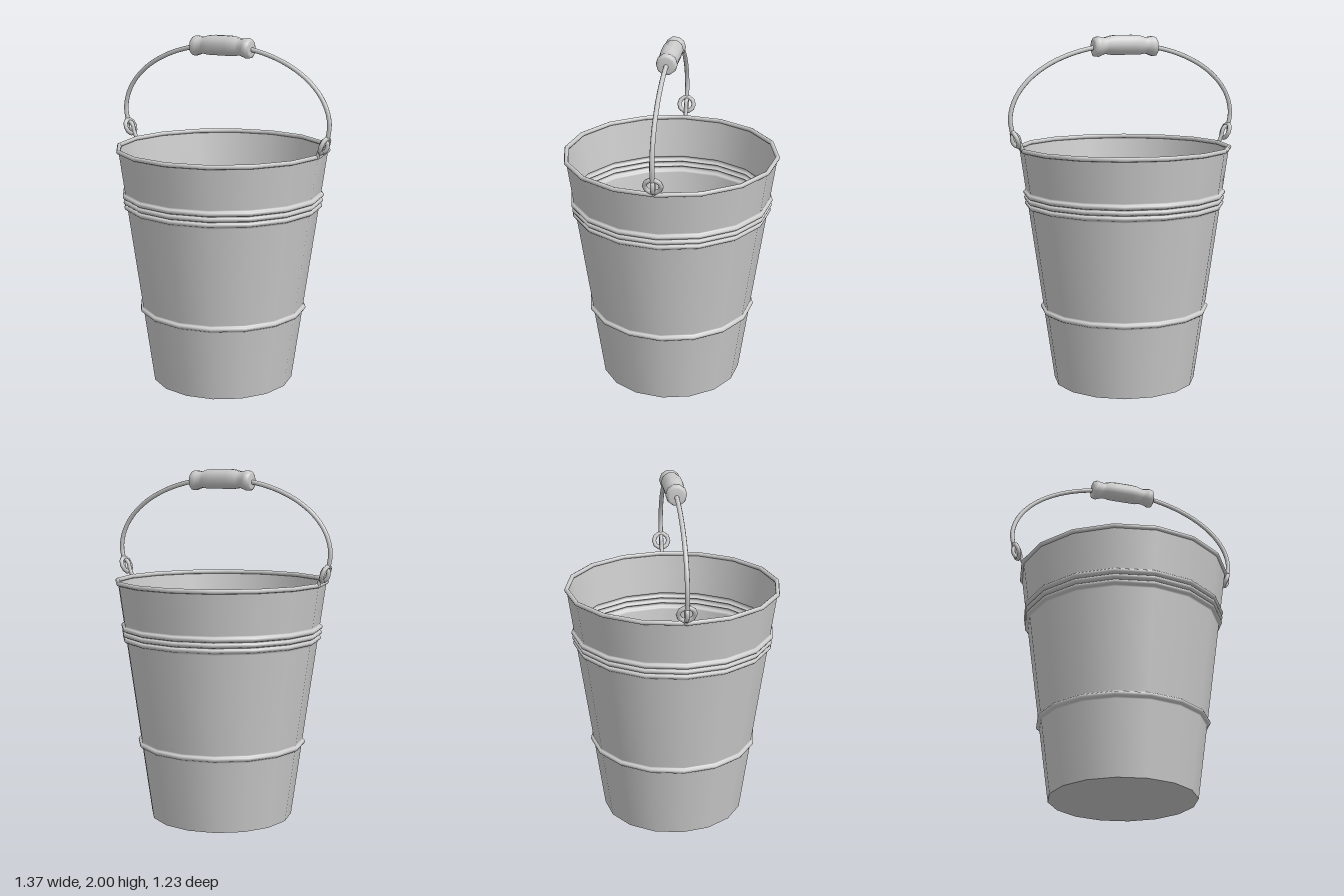
import * as THREE from 'three';

const SIDES = 16;
const TOP = 1.365;
const wallRadius = (y) => 0.41 + (0.19 * y) / TOP;

export function createModel() {
  const model = new THREE.Group();
  const solid = new THREE.MeshStandardMaterial({ color: 0xcccccc });
  const sheet = new THREE.MeshStandardMaterial({ color: 0xcccccc, side: THREE.DoubleSide });

  const add = (parent, name, geometry, material = solid) => {
    const mesh = new THREE.Mesh(geometry, material);
    mesh.name = name;
    parent.add(mesh);
    return mesh;
  };
  const wire = (curve, segments, radius = 0.014) =>
    new THREE.TubeGeometry(curve, segments, radius, 8, false);

  // Pail: thin tapered wall with pressed beads, floor and rolled rim
  const pail = new THREE.Group();
  pail.name = 'pail';
  pail.rotation.y = 0.02;
  model.add(pail);

  const profile = [new THREE.Vector2(wallRadius(0), 0)];
  const point = (y, out) => profile.push(new THREE.Vector2(wallRadius(y) + out, y));
  const bead = (y, half) => {
    for (let i = 0; i <= 6; i++) {
      const a = (i / 6) * Math.PI;
      point(y - half * Math.cos(a), 0.017 * Math.sin(a));
    }
  };
  point(0.41, 0);
  bead(0.432, 0.015);
  point(0.454, 0);
  point(1.02, 0);
  for (const y of [1.043, 1.074, 1.105]) bead(y, 0.0145);
  point(1.127, 0);
  point(TOP, 0);
  add(pail, 'wall', new THREE.LatheGeometry(profile, SIDES), sheet);

  const floor = new THREE.CircleGeometry(wallRadius(0), SIDES);
  floor.rotateX(Math.PI / 2);
  add(pail, 'floor', floor, sheet);

  const rim = new THREE.TorusGeometry(0.6, 0.013, 8, SIDES);
  rim.rotateX(Math.PI / 2);
  rim.translate(0, TOP, 0);
  add(pail, 'rim', rim);

  // Bail: arched wire running down to an eye on each side
  const arch = [];
  arch.push(new THREE.Vector3(-0.66, 1.465, 0));
  for (let i = 0; i <= 24; i++) {
    const a = Math.PI * (1 - i / 24);
    arch.push(new THREE.Vector3(0.672 * Math.cos(a), 1.535 + 0.409 * Math.sin(a), 0));
  }
  arch.push(new THREE.Vector3(0.66, 1.465, 0));
  add(model, 'bail', wire(new THREE.CatmullRomCurve3(arch), 64, 0.013));

  // Eyes at the bail ends, linked with hooked lugs on the rim
  for (const side of [1, -1]) {
    const eye = add(model, side > 0 ? 'leftEye' : 'rightEye', new THREE.TorusGeometry(0.044, 0.013, 8, 10));
    eye.rotation.set(0, Math.PI / 2, -side * 0.36, 'ZYX');
    eye.position.set(side * 0.644, 1.433, 0);

    const hook = [
      [0.6, 1.365], [0.617, 1.405], [0.628, 1.445], [0.645, 1.462],
      [0.662, 1.448], [0.66, 1.42], [0.645, 1.4], [0.625, 1.395],
    ].map(([x, y]) => new THREE.Vector3(side * x, y, 0));
    add(model, side > 0 ? 'leftLug' : 'rightLug', wire(new THREE.CatmullRomCurve3(hook), 24, 0.012));
  }

  // Grip: turned handle with flared ends, bent to follow the bail
  const grip = new THREE.LatheGeometry(
    [
      [0, -0.192], [0.04, -0.192], [0.053, -0.186], [0.059, -0.165], [0.054, -0.15],
      [0.048, -0.125], [0.05, -0.11], [0.056, -0.085], [0.058, -0.05], [0.058, 0.05],
      [0.056, 0.085], [0.05, 0.11], [0.048, 0.125], [0.054, 0.15], [0.059, 0.165],
      [0.053, 0.186], [0.04, 0.192], [0, 0.192],
    ].map(([r, y]) => new THREE.Vector2(r, y)),
    10,
  );
  grip.rotateZ(Math.PI / 2);
  const p = grip.attributes.position;
  for (let i = 0; i < p.count; i++) p.setY(i, p.getY(i) - 0.35 * p.getX(i) ** 2);
  grip.translate(-0.004, 1.944, 0);
  add(model, 'grip', grip);

  return model;
}
